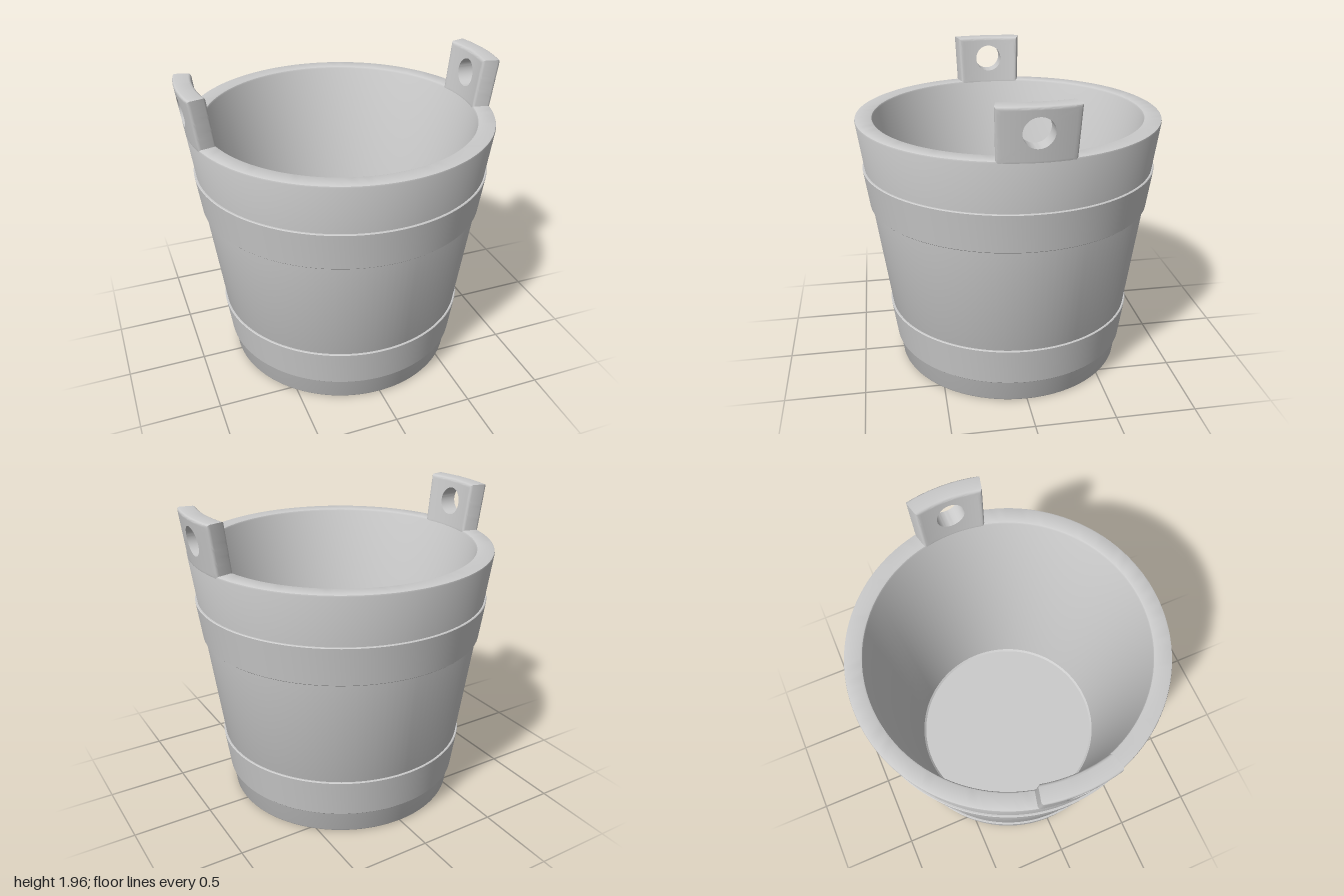
import * as THREE from 'three';
import { toCreasedNormals } from 'three/addons/utils/BufferGeometryUtils.js';

const RIM = 1.658, TOP = 1.957, WALL = 0.11, FLOOR = 0.12;
const radius = (y) => 0.735 + 0.132 * y; // tapered outer wall

const material = new THREE.MeshStandardMaterial({ color: 0xcccccc, roughness: 0.8 });

function addMesh(parent, name, geometry) {
  const mesh = new THREE.Mesh(toCreasedNormals(geometry, 0.6), material);
  mesh.name = name;
  parent.add(mesh);
  return mesh;
}

function lathe(points) {
  return new THREE.LatheGeometry(points.map(([r, y]) => new THREE.Vector2(r, y)), 128);
}

// Hollow tapered tub with softened edges
function bodyGeometry() {
  const b = 0.012, inner = (y) => radius(y) - WALL;
  return lathe([
    [0, 0], [radius(0) - b, 0], [radius(0) - b * 0.3, b * 0.3], [radius(b), b],
    [radius(RIM - b), RIM - b], [radius(RIM) - b * 0.3, RIM - b * 0.3], [radius(RIM) - b, RIM],
    [inner(RIM) + b, RIM], [inner(RIM) + b * 0.3, RIM - b * 0.3], [inner(RIM - b), RIM - b],
    [inner(FLOOR + b), FLOOR + b], [inner(FLOOR) - b, FLOOR], [0, FLOOR],
  ]);
}

// Thin hoop that follows the wall taper
function hoopGeometry(y0, y1) {
  const t = 0.013, e = 0.004;
  return lathe([
    [radius(y0) - 0.02, y0], [radius(y0) + t - e, y0], [radius(y0) + t, y0 + e],
    [radius(y1) + t, y1 - e], [radius(y1) + t - e, y1], [radius(y1) - 0.02, y1],
  ]);
}

// Curved lug: a loop section swept round the straight handle hole
function lugGeometry() {
  const N = 64, RINGS = 8, bevel = 0.016;
  const halfAngle = 0.237, y0 = 1.63, holeY = 1.812, holeR = 0.088;
  const midY = (y0 + TOP) / 2, halfH = (TOP - y0) / 2;

  // Section stops: s = hole to border, depth from outer face, inset from border
  const stops = [];
  for (let k = 0; k <= RINGS; k++) stops.push([k / RINGS, 0, bevel]);
  for (let k = 1; k <= 3; k++) {
    const a = (k / 3) * Math.PI / 2;
    stops.push([1, bevel * (1 - Math.cos(a)), bevel * (1 - Math.sin(a))]);
  }
  for (let k = 3; k >= 1; k--) {
    const a = (k / 3) * Math.PI / 2;
    stops.push([1, WALL - bevel * (1 - Math.cos(a)), bevel * (1 - Math.sin(a))]);
  }
  for (let k = RINGS; k >= 0; k--) stops.push([k / RINGS, WALL, bevel]);

  const positions = [], index = [], M = stops.length;
  for (let i = 0; i < N; i++) {
    const c = Math.cos((i / N) * Math.PI * 2), d = Math.sin((i / N) * Math.PI * 2);
    const m = Math.max(Math.abs(c), Math.abs(d));
    for (const [s, depth, inset] of stops) {
      const edgeY = midY + (d / m) * (halfH - inset);
      const edgeZ = (radius(edgeY) - depth) * Math.sin((c / m) * (halfAngle - inset));
      const y = THREE.MathUtils.lerp(holeY + holeR * d, edgeY, s);
      const z = THREE.MathUtils.lerp(holeR * c, edgeZ, s);
      const r = radius(y) - depth;
      positions.push(Math.sqrt(r * r - z * z), y, z);
    }
  }
  for (let i = 0; i < N; i++) {
    for (let j = 0; j < M; j++) {
      const i2 = (i + 1) % N, j2 = (j + 1) % M;
      const a = i * M + j, b = i * M + j2, p = i2 * M + j2, q = i2 * M + j;
      index.push(a, p, b, a, q, p);
    }
  }
  const geometry = new THREE.BufferGeometry();
  geometry.setAttribute('position', new THREE.Float32BufferAttribute(positions, 3));
  geometry.setIndex(index);
  geometry.computeVertexNormals();
  return geometry;
}

export function createModel() {
  const bucket = new THREE.Group();
  bucket.name = 'bucket';

  addMesh(bucket, 'body', bodyGeometry());
  addMesh(bucket, 'lowerHoop', hoopGeometry(0.15, 0.4));
  addMesh(bucket, 'upperHoop', hoopGeometry(1.1, 1.345));

  // Handle lugs on both sides
  addMesh(bucket, 'leftLug', lugGeometry());
  addMesh(bucket, 'rightLug', lugGeometry()).rotation.y = Math.PI;

  return bucket;
}
